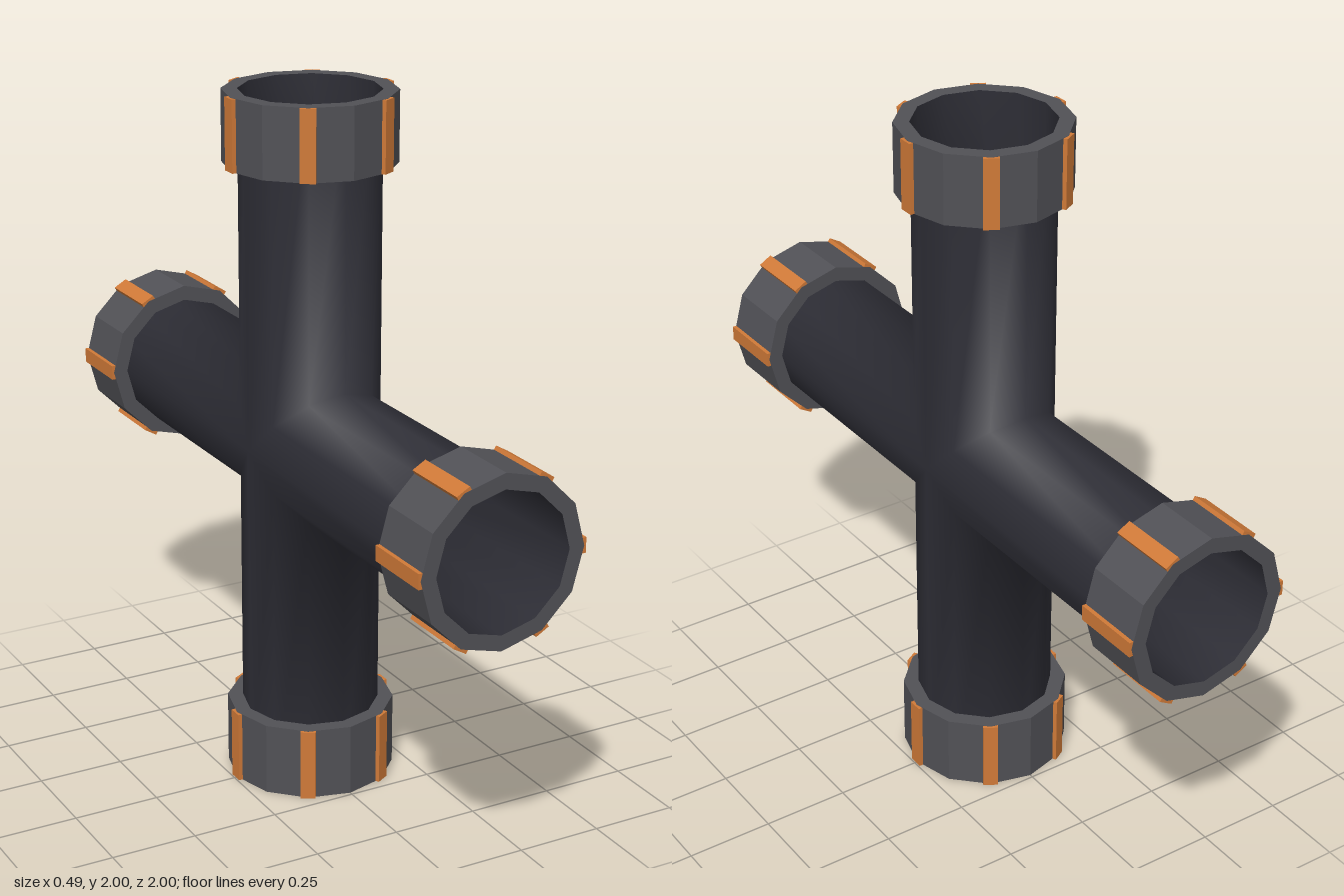
import * as THREE from 'three';
import { mergeGeometries, mergeVertices } from 'three/addons/utils/BufferGeometryUtils.js';

const SIDES = 12;
const PIPE_R = 0.196;
const COLLAR_R = 0.24;

function material(name, color, extra = {}) {
  const m = new THREE.MeshStandardMaterial({ color, ...extra });
  m.name = name;
  return m;
}

// One hollow arm along +y, mitred at its root so four arms meet cleanly
function armGeometry() {
  const g = new THREE.CylinderGeometry(PIPE_R, PIPE_R, 2, SIDES, 1, true);
  const p = g.attributes.position;
  for (let i = 0; i < p.count; i++) {
    p.setY(i, p.getY(i) > 0 ? 1 : Math.abs(p.getZ(i)));
  }
  g.deleteAttribute('normal');
  g.deleteAttribute('uv');
  return g;
}

// Faceted ring around the pipe end
function collarGeometry(length) {
  const profile = [
    [PIPE_R, 1 - length], [COLLAR_R, 1 - length], [COLLAR_R, 1], [PIPE_R, 1],
  ].map(([r, y]) => new THREE.Vector2(r, y));
  const g = new THREE.LatheGeometry(profile, SIDES).toNonIndexed();
  g.computeVertexNormals();
  return g;
}

export function createModel() {
  const pipeMat = material('dark pipe', 0x2e2e36, { side: THREE.DoubleSide });
  const collarMat = material('grey collar', 0x515156);
  const stripMat = material('copper orange', 0xd07a38);

  const model = new THREE.Group();
  model.name = 'pipeCross';
  const body = new THREE.Group();
  body.position.y = 1;
  model.add(body);

  // Arm directions as turns about x: top, front, bottom, back
  const ends = [
    { name: 'top', turn: 0, length: 0.2 },
    { name: 'front', turn: Math.PI / 2, length: 0.21 },
    { name: 'bottom', turn: Math.PI, length: 0.21 },
    { name: 'back', turn: -Math.PI / 2, length: 0.2 },
  ];

  // Four arms welded into one smooth hollow cross
  const arms = ends.map((e) => armGeometry().rotateX(e.turn));
  const crossGeo = mergeVertices(mergeGeometries(arms), 1e-4);
  crossGeo.computeVertexNormals();
  const cross = new THREE.Mesh(crossGeo, pipeMat);
  cross.name = 'pipes';
  body.add(cross);

  for (const { name, turn, length } of ends) {
    const end = new THREE.Group();
    end.name = name + 'End';
    end.rotation.x = turn;

    const collar = new THREE.Mesh(collarGeometry(length), collarMat);
    collar.name = name + 'Collar';
    end.add(collar);

    // Six grip strips on alternate corners of the collar
    for (let i = 0; i < 6; i++) {
      const a = (i * Math.PI) / 3;
      const strip = new THREE.Mesh(new THREE.BoxGeometry(0.018, length - 0.001, 0.043), stripMat);
      strip.name = name + 'Strip';
      strip.position.set(Math.cos(a) * 0.237, 1 - length / 2, Math.sin(a) * 0.237);
      strip.rotation.y = -a;
      end.add(strip);
    }
    body.add(end);
  }
  return model;
}
